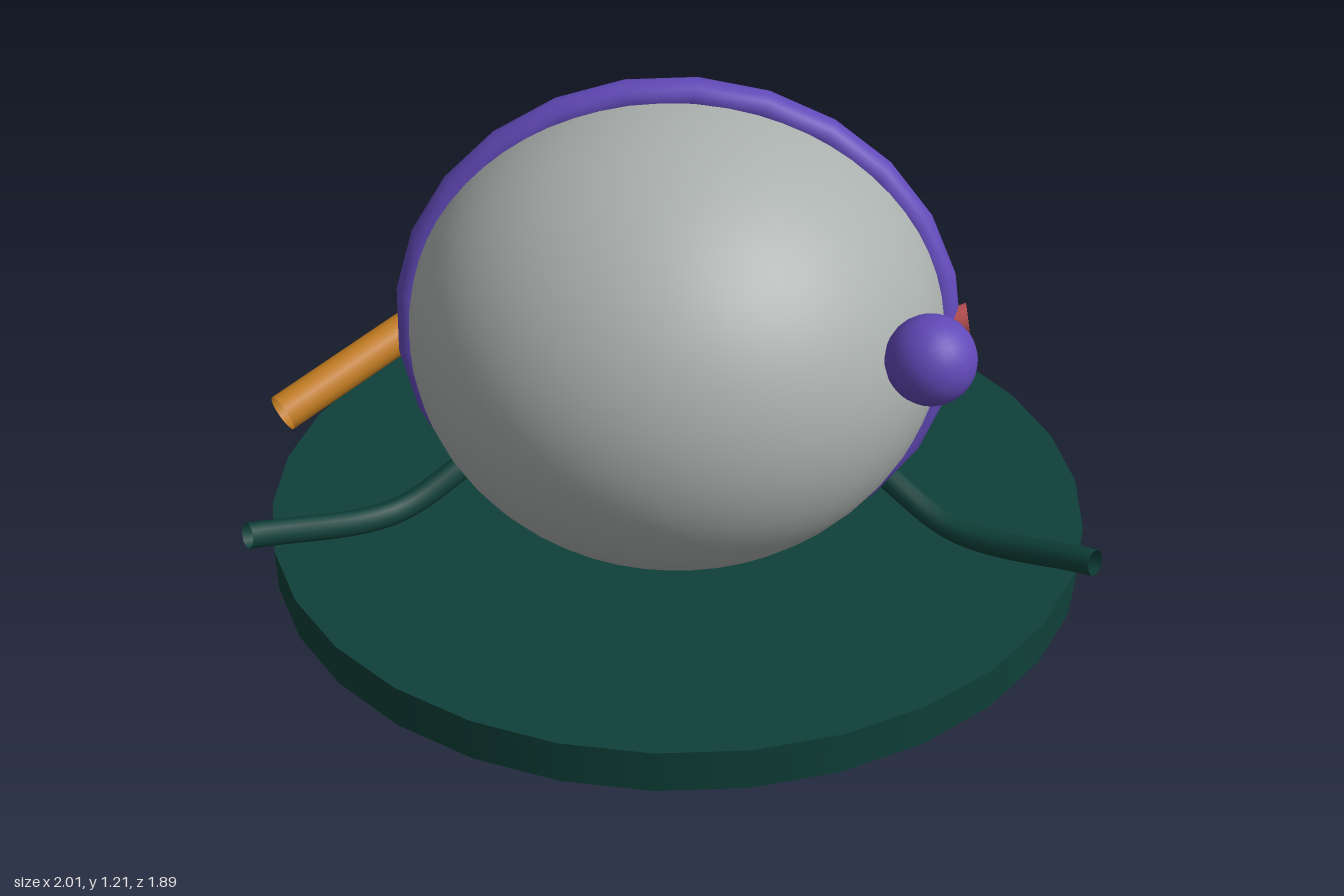
import * as THREE from 'three';

const material = (name, color, side = THREE.FrontSide) => {
  const m = new THREE.MeshStandardMaterial({ color, side });
  m.name = name;
  return m;
};

export function createModel() {
  const model = new THREE.Group();
  model.name = 'model';
  const green = material('dark green', 0x0f4039, THREE.DoubleSide);
  const grey = material('grey', 0xaab0ad);
  const purple = material('purple', 0x6149b8);
  const red = material('coral red', 0xcb585b);
  const orange = material('orange', 0xc27c20, THREE.DoubleSide);

  const add = (name, geometry, mat, x = 0, y = 0, z = 0) => {
    const mesh = new THREE.Mesh(geometry, mat);
    mesh.name = name;
    mesh.position.set(x, y, z);
    model.add(mesh);
    return mesh;
  };

  // Slightly oval base disc
  add('base', new THREE.CylinderGeometry(1, 1, 0.11, 30), green, 0, 0.06, 0).scale.set(1.005, 1, 0.944);

  // Squashed round body
  add('body', new THREE.SphereGeometry(1, 48, 32), grey, 0, 0.615, 0).scale.set(0.635, 0.557, 0.635);

  // Band around the body, leaning back
  const band = add('band', new THREE.TorusGeometry(0.633, 0.042, 14, 25), purple, 0, 0.606, 0);
  band.scale.set(1, 0.91, 1.1);
  band.rotation.x = THREE.MathUtils.degToRad(-10);

  // Tapered knob on the side of the band
  const knob = add('knob', new THREE.CylinderGeometry(0.044, 0.028, 0.06, 16), red, 0.66, 0.637, 0);
  knob.rotation.z = THREE.MathUtils.degToRad(-80);

  // Floating ball
  add('ball', new THREE.SphereGeometry(0.099, 24, 16), purple, 0.567, 0.861, 0.509);

  // Open-ended rod running into the body
  const rodPath = new THREE.LineCurve3(
    new THREE.Vector3(-0.932, 0.432, 0.163),
    new THREE.Vector3(-0.48, 0.597, -0.231)
  );
  add('rod', new THREE.TubeGeometry(rodPath, 1, 0.046, 16), orange);

  // Pair of drooping open-ended arms
  for (const s of [1, -1]) {
    const armPath = new THREE.CatmullRomCurve3([
      new THREE.Vector3(s * 0.5, 0.232, 0.045),
      new THREE.Vector3(s * 0.68, 0.158, 0.175),
      new THREE.Vector3(s * 0.985, 0.245, 0.4)
    ]);
    add(s > 0 ? 'leftArm' : 'rightArm', new THREE.TubeGeometry(armPath, 20, 0.031, 10), green);
  }

  return model;
}
